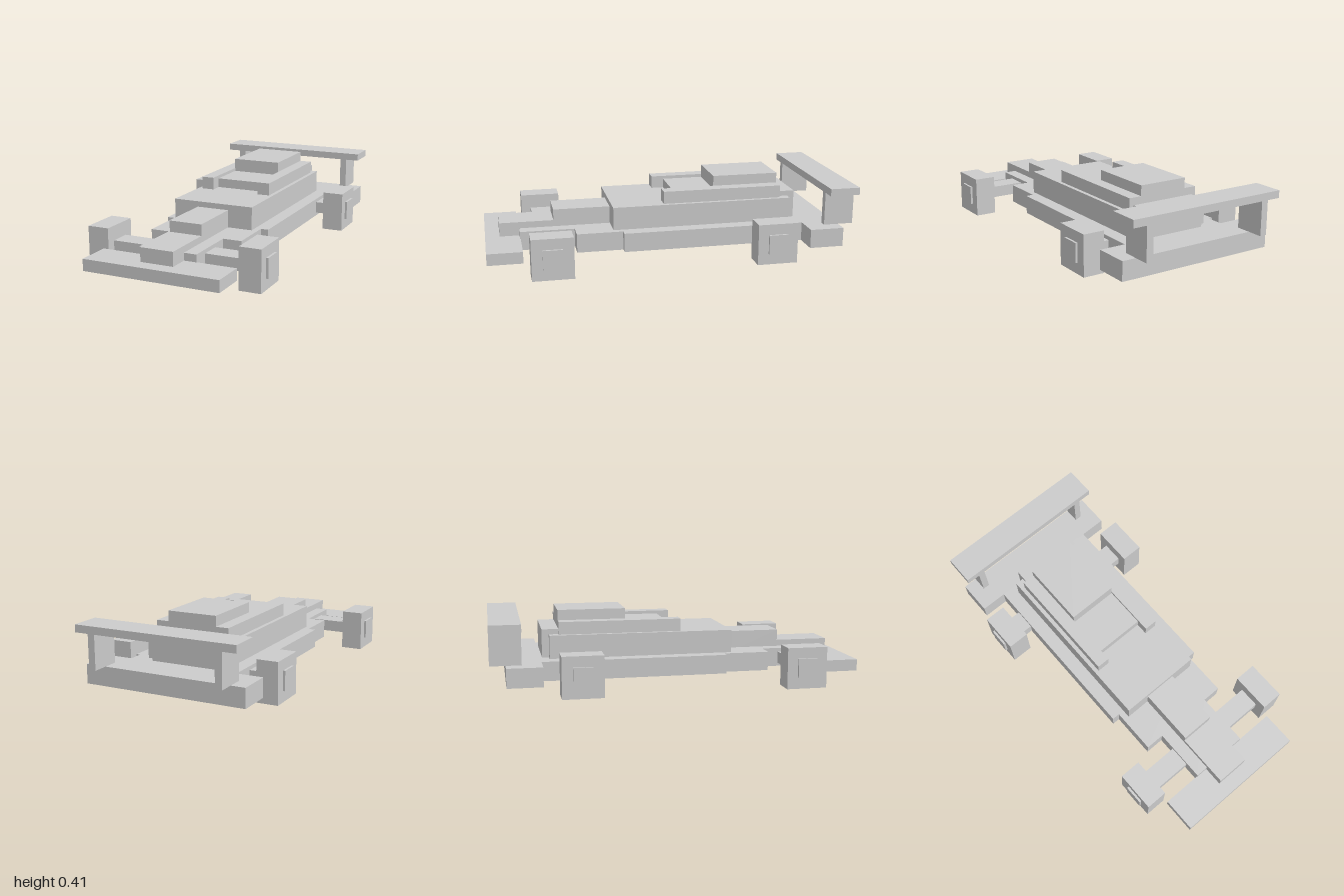
import * as THREE from 'three';

const material = new THREE.MeshStandardMaterial({ color: 0xcccccc, flatShading: true });

// Box given by its extents along each axis
function block(parent, name, [x0, x1], [y0, y1], [z0, z1]) {
  const mesh = new THREE.Mesh(new THREE.BoxGeometry(x1 - x0, y1 - y0, z1 - z0), material);
  mesh.position.set((x0 + x1) / 2, (y0 + y1) / 2, (z0 + z1) / 2);
  mesh.name = name;
  parent.add(mesh);
}

// Box centred on x = 0
const centred = (parent, name, halfWidth, y, z) => block(parent, name, [-halfWidth, halfWidth], y, z);

// Pair of boxes mirrored across x = 0
function pair(parent, name, [x0, x1], y, z) {
  block(parent, name + 'Left', [x0, x1], y, z);
  block(parent, name + 'Right', [-x1, -x0], y, z);
}

export function createModel() {
  const car = new THREE.Group();
  car.name = 'raceCar';

  // Stepped floor, widening towards the back
  const floor = [0.062, 0.165];
  centred(car, 'floorFront', 0.16, floor, [0.52, 0.815]);
  centred(car, 'floorMiddle', 0.263, floor, [0.27, 0.52]);
  centred(car, 'floorMain', 0.305, floor, [-0.73, 0.27]);
  centred(car, 'floorRear', 0.448, floor, [-0.917, -0.73]);

  // Front wing and stepped nose
  centred(car, 'frontWing', 0.374, [0.062, 0.125], [0.812, 1]);
  centred(car, 'noseTip', 0.091, [0.125, 0.2], [0.62, 0.922]);
  centred(car, 'noseBase', 0.091, [0.125, 0.26], [0.31, 0.628]);

  // Body, cockpit and engine cover
  centred(car, 'body', 0.23, [0.165, 0.29], [-0.682, 0.317]);
  centred(car, 'engineTail', 0.183, [0.165, 0.318], [-0.72, -0.6]);
  pair(car, 'cockpitRail', [0.137, 0.208], [0.29, 0.358], [-0.63, 0.034]);
  centred(car, 'cockpit', 0.139, [0.29, 0.341], [-0.63, -0.034]);
  centred(car, 'engineCover', 0.138, [0.341, 0.414], [-0.63, -0.262]);

  // Rear wing on two struts
  centred(car, 'rearWing', 0.446, [0.347, 0.387], [-1, -0.835]);
  pair(car, 'rearWingStrut', [0.333, 0.371], [0.165, 0.347], [-1, -0.835]);

  // Square wheels with axles and hubs
  for (const [name, z] of [['front', 0.668], ['rear', -0.532]]) {
    centred(car, name + 'Axle', 0.38, [0.08, 0.145], [z - 0.057, z + 0.057]);
    pair(car, name + 'Wheel', [0.368, 0.486], [0, 0.223], [z - 0.11, z + 0.11]);
    pair(car, name + 'Hub', [0.48, 0.498], [0.06, 0.165], [z - 0.052, z + 0.052]);
  }
  return car;
}
